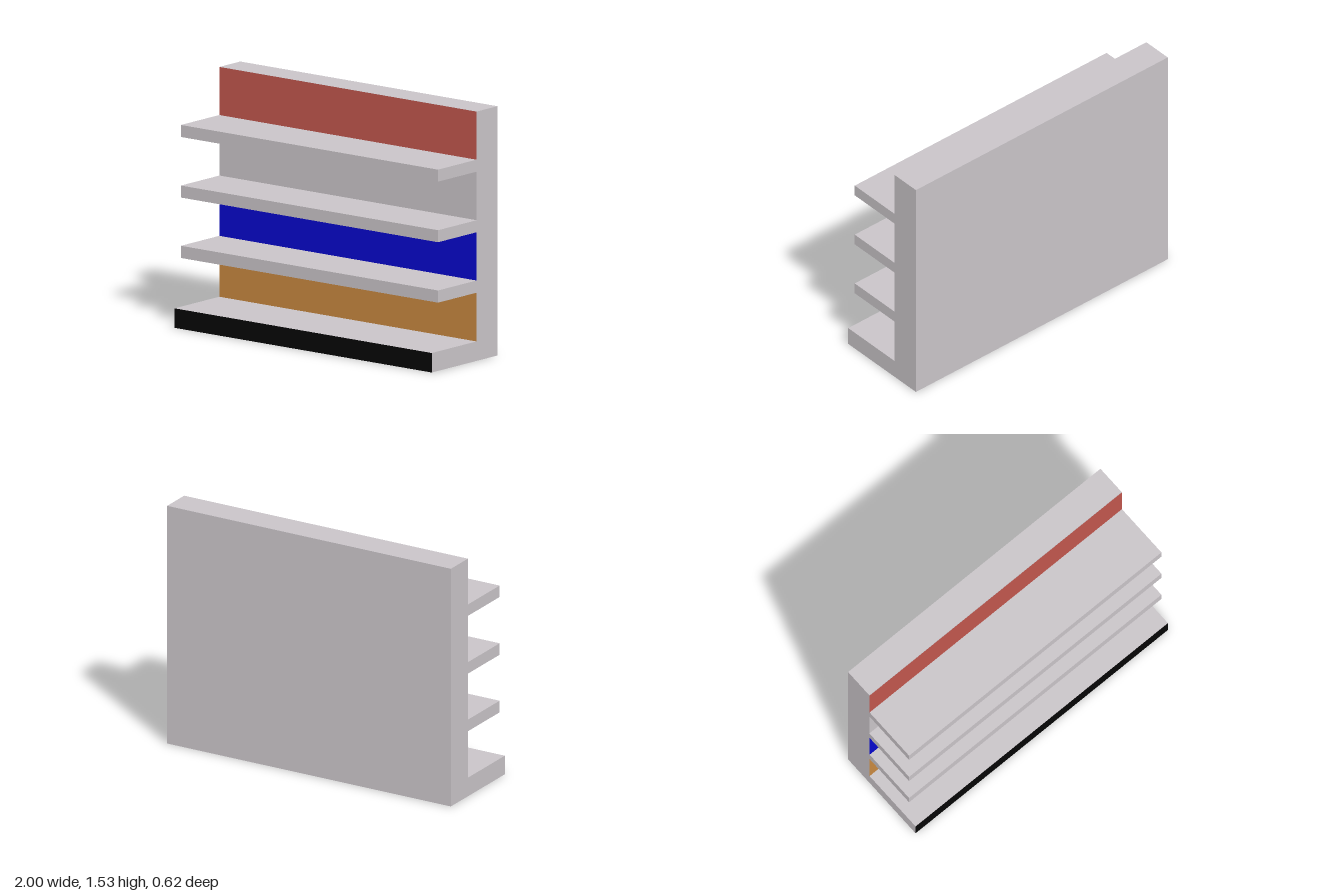
import * as THREE from 'three';

const WIDTH = 2;
const BACK = -0.312, WALL_FRONT = -0.115, SHELF_FRONT = 0.252, BASE_FRONT = 0.312;
const TOP = 1.535, BASE_TOP = 0.12;

function flatColour(name, color) {
  const material = new THREE.MeshStandardMaterial({ color });
  material.name = name;
  return material;
}

export function createModel() {
  const grey = flatColour('warm grey', 0xc9c4c8);
  const red = flatColour('brick red', 0xc1564d);
  const blue = flatColour('deep blue', 0x0606cc);
  const orange = flatColour('ochre', 0xc88840);
  const black = flatColour('black', 0x050505);

  const model = new THREE.Group();
  model.name = 'displayShelf';

  // Full-width slab between two heights and two depths
  function slab(name, y0, y1, z0, z1, material) {
    const mesh = new THREE.Mesh(new THREE.BoxGeometry(WIDTH, y1 - y0, z1 - z0), material);
    mesh.position.set(0, (y0 + y1) / 2, (z0 + z1) / 2);
    mesh.name = name;
    model.add(mesh);
  }

  // Back wall, and base with a black front face
  slab('backWall', 0, TOP, BACK, WALL_FRONT, grey);
  slab('base', 0, BASE_TOP, WALL_FRONT, BASE_FRONT, [grey, grey, grey, grey, black, grey]);

  // Three shelves
  const shelves = [[0.42, 0.495], [0.792, 0.866], [1.165, 1.239]];
  const names = ['lowerShelf', 'middleShelf', 'upperShelf'];
  shelves.forEach(([y0, y1], i) => slab(names[i], y0, y1, WALL_FRONT, SHELF_FRONT, grey));

  // Coloured panels on the wall between the shelves
  function panel(name, y0, y1, material) {
    const mesh = new THREE.Mesh(new THREE.PlaneGeometry(WIDTH, y1 - y0), material);
    mesh.position.set(0, (y0 + y1) / 2, WALL_FRONT + 0.002);
    mesh.name = name;
    model.add(mesh);
  }
  panel('ochrePanel', BASE_TOP, shelves[0][0], orange);
  panel('bluePanel', shelves[0][1], shelves[1][0], blue);
  panel('redPanel', shelves[2][1], TOP, red);

  return model;
}
